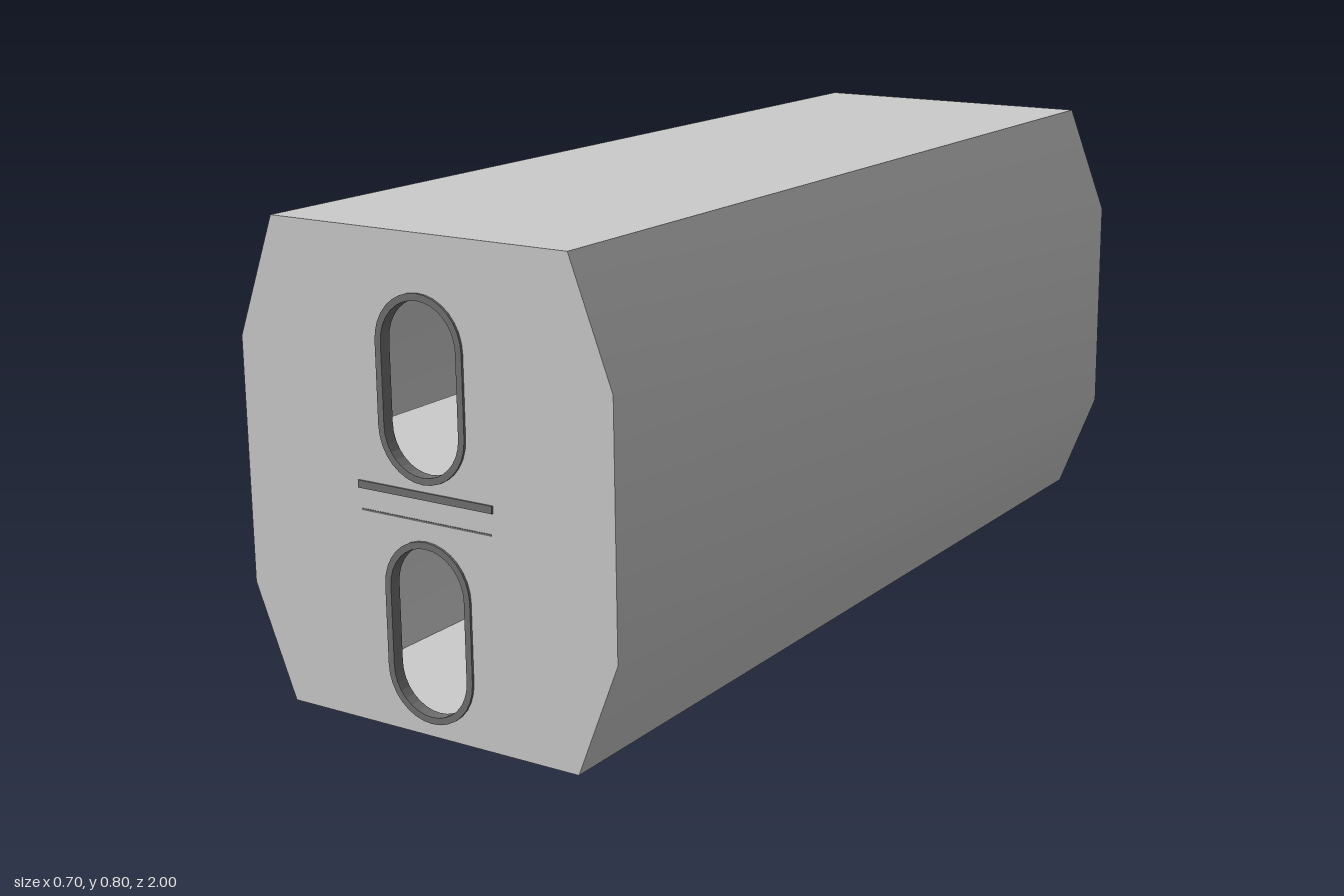
import * as THREE from 'three';
import { toCreasedNormals } from 'three/addons/utils/BufferGeometryUtils.js';

const grey = new THREE.MeshStandardMaterial({ color: 0xcccccc, side: THREE.DoubleSide });
const dark = new THREE.MeshStandardMaterial({ color: 0x707070, side: THREE.DoubleSide });

// Octagonal cross-section, anticlockwise seen from the front
const octagon = (wide, narrow, top, shoulder, hip, bottom) => [
  [wide, hip], [wide, shoulder], [narrow, top], [-narrow, top],
  [-wide, shoulder], [-wide, hip], [-narrow, bottom], [narrow, bottom],
].map(([x, y]) => new THREE.Vector2(x, y));

const body = octagon(0.348, 0.275, 0.8, 0.605, 0.205, 0.02);
const tip = octagon(0.14, 0.11, 0.565, 0.487, 0.335, 0.257);
const FRONT = 0.996, SHOULDER = -0.725, BACK = -1;

// Wall between two cross-sections, without caps
function loft(front, zf, back, zb, crease) {
  const pos = [];
  front.forEach((a, i) => {
    const j = (i + 1) % front.length, b = front[j], c = back[i], d = back[j];
    pos.push(a.x, a.y, zf, c.x, c.y, zb, b.x, b.y, zf);
    pos.push(b.x, b.y, zf, c.x, c.y, zb, d.x, d.y, zb);
  });
  const g = new THREE.BufferGeometry();
  g.setAttribute('position', new THREE.Float32BufferAttribute(pos, 3));
  g.computeVertexNormals();
  return crease ? toCreasedNormals(g, crease) : g;
}

// Upright rounded slot for the windows
function slot(Kind, r, y0, y1) {
  const s = new Kind();
  s.absarc(0.004, y1 - r, r, 0, Math.PI, false);
  s.absarc(0.004, y0 + r, r, Math.PI, Math.PI * 2, false);
  s.closePath();
  return s;
}

export function createModel() {
  const model = new THREE.Group();
  const add = (name, geometry, x = 0, y = 0, z = 0, material = grey) => {
    const mesh = new THREE.Mesh(geometry, material);
    mesh.name = name;
    mesh.position.set(x, y, z);
    model.add(mesh);
    return mesh;
  };
  const box = (name, w, h, d, x, y, z, material) =>
    add(name, new THREE.BoxGeometry(w, h, d), x, y, z, material);

  // Hollow hull and tapered rear
  add('hull', loft(body, FRONT, body, SHOULDER, 0.6));
  add('taperedRear', loft(body, SHOULDER, tip, BACK));
  const cap = new THREE.ShapeGeometry(new THREE.Shape(tip));
  cap.rotateY(Math.PI);
  add('rearWall', cap, 0, 0, BACK);

  // Front wall with two window openings and their frames
  const wall = new THREE.Shape(body);
  [[0.042, 0.332, 'lower'], [0.421, 0.711, 'upper']].forEach(([y0, y1, level]) => {
    wall.holes.push(slot(THREE.Path, 0.07, y0 + 0.011, y1 - 0.011));
    const ring = slot(THREE.Shape, 0.081, y0, y1);
    ring.holes.push(slot(THREE.Path, 0.07, y0 + 0.011, y1 - 0.011));
    const frame = new THREE.ExtrudeGeometry(ring, { depth: 0.02, bevelEnabled: false, curveSegments: 8 });
    add(level + 'WindowFrame', frame, 0, 0, 0.98, dark);
  });
  add('frontWall', new THREE.ShapeGeometry(wall, 8), 0, 0, FRONT);

  // Trim strips between the windows
  box('frontLedge', 0.254, 0.012, 0.01, 0.004, 0.403, 0.994, dark);
  box('frontSeam', 0.246, 0.003, 0.006, 0.004, 0.363, 0.994, dark);

  // Deck between the two storeys
  box('deck', 0.68, 0.034, 1.7, 0, 0.382, 0.13);

  // Desk and seat on the upper deck
  box('deskTop', 0.3, 0.036, 0.12, 0, 0.523, -0.56);
  box('seatBack', 0.06, 0.11, 0.03, 0.004, 0.456, -0.44);
  box('headrest', 0.058, 0.034, 0.035, 0.004, 0.528, -0.44);

  // Small drain pipe underneath
  add('drainPipe', new THREE.CylinderGeometry(0.007, 0.007, 0.03, 12), 0.204, 0.015, -0.365);

  return model;
}
